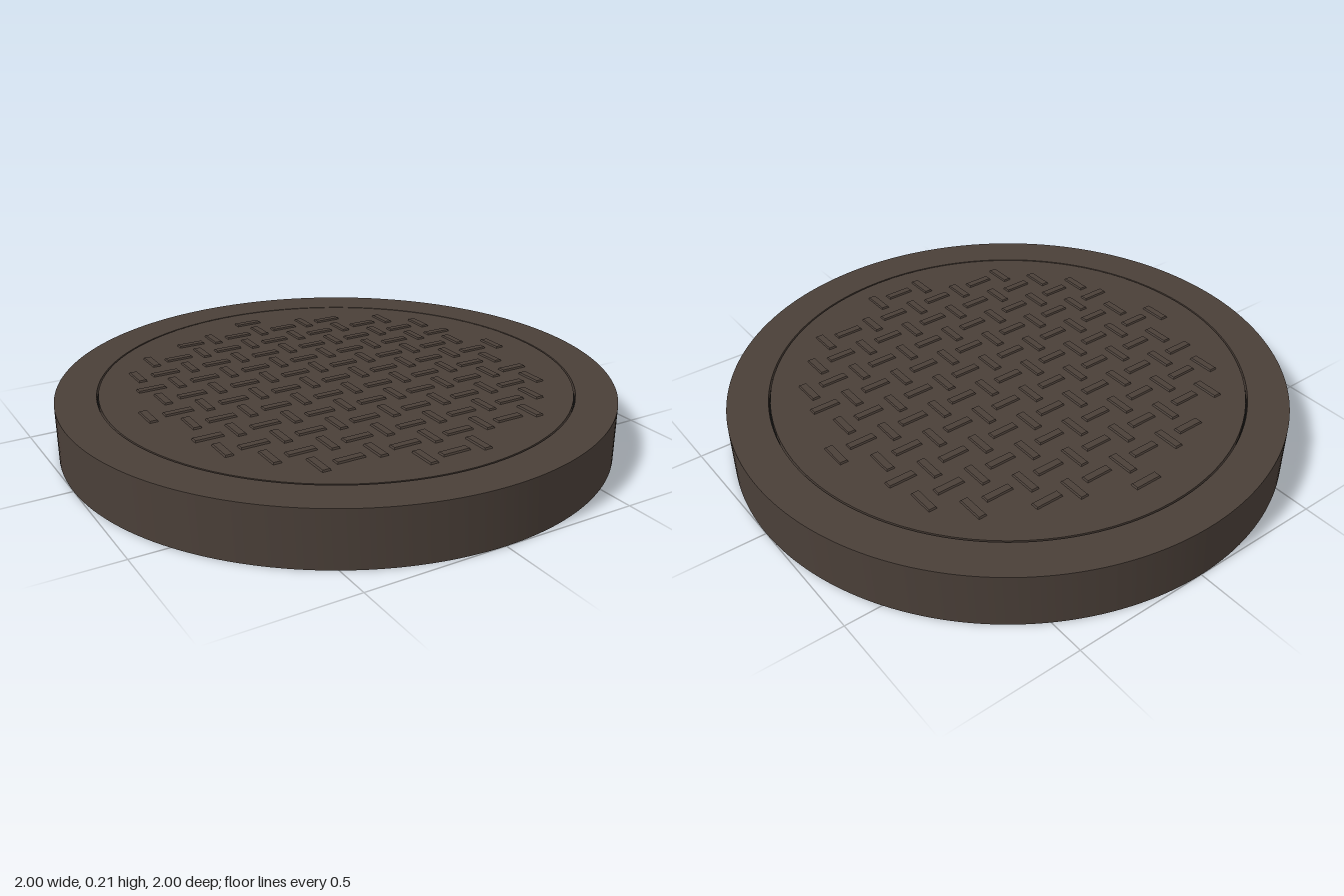
import * as THREE from 'three';
import { toCreasedNormals } from 'three/addons/utils/BufferGeometryUtils.js';

const iron = new THREE.MeshStandardMaterial({ color: 0x4a3f38 });
const dark = new THREE.MeshStandardMaterial({ color: 0x0a0a0a });

const OUTER = 1, INNER = 0.855, LID = 0.849;
const FRAME_TOP = 0.2, LID_BOTTOM = 0.037;

function addMesh(parent, name, geometry, material) {
  const mesh = new THREE.Mesh(geometry, material);
  mesh.name = name;
  parent.add(mesh);
  return mesh;
}

// Square-edged ring standing on y = 0
function ringGeometry(outer, inner, height) {
  const shape = new THREE.Shape().absarc(0, 0, outer, 0, Math.PI * 2);
  shape.holes.push(new THREE.Path().absarc(0, 0, inner, 0, Math.PI * 2, true));
  const geo = new THREE.ExtrudeGeometry(shape, { depth: height, bevelEnabled: false, curveSegments: 96 });
  geo.rotateX(-Math.PI / 2);
  return toCreasedNormals(geo, 0.5);
}

// Raised bar along x with sloping sides
function barGeometry(length, width, height, inset) {
  const geo = new THREE.BoxGeometry(length, height, width);
  const p = geo.attributes.position;
  for (let i = 0; i < p.count; i++) {
    if (p.getY(i) > 0) {
      p.setX(i, p.getX(i) - Math.sign(p.getX(i)) * inset);
      p.setZ(i, p.getZ(i) - Math.sign(p.getZ(i)) * inset);
    }
  }
  return toCreasedNormals(geo, 0.3);
}

export function createModel() {
  const model = new THREE.Group();
  model.name = 'manholeCover';

  // Outer frame
  addMesh(model, 'frame', ringGeometry(OUTER, INNER, FRAME_TOP), iron);

  // Dark underside, also closing the narrow seam around the lid
  const linerHeight = 0.14;
  addMesh(model, 'underside', new THREE.CylinderGeometry(INNER, INNER, linerHeight, 96), dark)
    .position.y = LID_BOTTOM + linerHeight / 2;

  // Lid plate
  const lidBottom = LID_BOTTOM + 0.01;
  addMesh(model, 'lid', new THREE.CylinderGeometry(LID, LID, FRAME_TOP - lidBottom, 96), iron)
    .position.y = (FRAME_TOP + lidBottom) / 2;

  // Basket-weave tread: bars alternate direction from cell to cell
  const tread = new THREE.Group();
  tread.name = 'tread';
  model.add(tread);
  const pitchX = 0.103, pitchZ = 0.121, limit = 0.728;
  const bar = barGeometry(0.107, 0.035, 0.01, 0.005);
  for (let i = -7; i <= 7; i++) {
    for (let j = -6; j <= 6; j++) {
      const lengthwise = (i + j) % 2 !== 0;
      const x = i * pitchX, z = j * pitchZ - (lengthwise ? 0.011 : 0);
      if (Math.hypot(x, z) > limit) continue;
      const mesh = addMesh(tread, 'treadBar', bar, iron);
      mesh.position.set(x, FRAME_TOP + 0.001, z);
      if (lengthwise) mesh.rotation.y = Math.PI / 2;
    }
  }
  return model;
}
